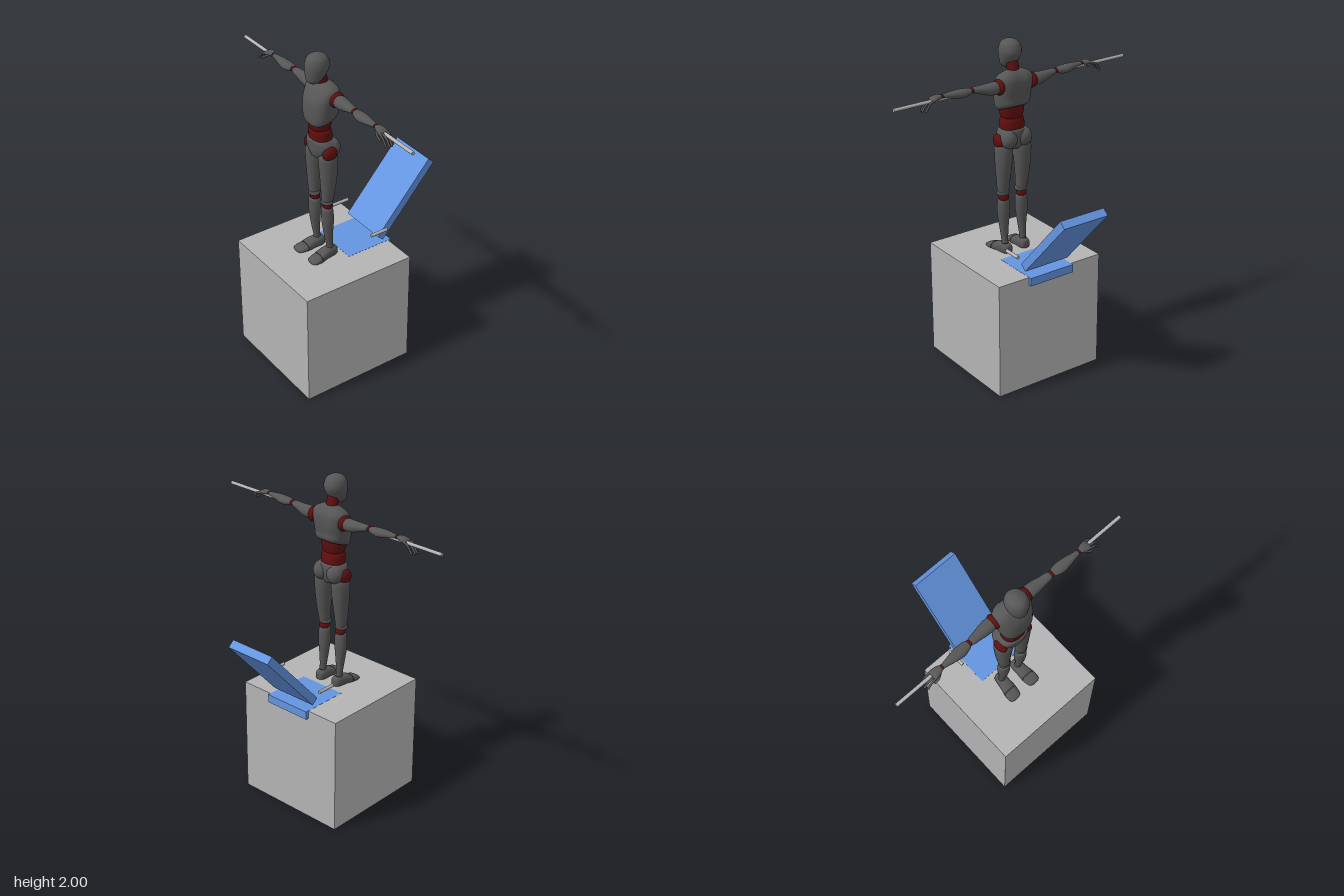
import * as THREE from 'three';

const material = (name, color) => {
  const m = new THREE.MeshStandardMaterial({ color });
  m.name = name;
  return m;
};

// Smooth interpolation through the section values
const spline = (a, b, c, d, u) =>
  b + 0.5 * u * (c - a + u * (2 * a - 5 * b + 4 * c - d + u * (3 * (b - c) + d - a)));

// Loft along an axis. Section: [t, centreA, centreB, radiusA, radiusB, tilt]
// axis y: A = x, B = z;  axis x: A = y, B = z;  axis z: A = x, B = y
function loft(sections, { axis = 'y', side = 1, power = 1, groove = 0, floor = -1 } = {}) {
  const N = 28, SUB = 4, rows = [], pos = [], idx = [];
  const at = i => sections[Math.max(0, Math.min(sections.length - 1, i))];
  for (let i = 0; i < sections.length - 1; i++)
    for (let k = 0; k < SUB; k++)
      rows.push([0, 1, 2, 3, 4, 5].map(j =>
        spline(at(i - 1)[j] ?? 0, at(i)[j] ?? 0, at(i + 1)[j] ?? 0, at(i + 2)[j] ?? 0, k / SUB)));
  rows.push([0, 1, 2, 3, 4, 5].map(j => at(sections.length)[j] ?? 0));
  // closed ends
  const cap = r => [r[0], r[1], r[2], 0, 0, r[5]];
  rows.unshift(cap(rows[0]));
  rows.push(cap(rows[rows.length - 1]));
  const round = v => Math.sign(v) * Math.abs(v) ** power;
  for (const [t, ca, cb, ra, rb, tilt] of rows)
    for (let n = 0; n < N; n++) {
      const w = (n / N) * Math.PI * 2;
      const da = Math.max(ra, 0) * round(Math.cos(w));
      let db = Math.max(rb, 0) * round(Math.sin(w));
      if (db < 0) db *= 1 - groove * Math.exp(-((da / 0.022) ** 2));
      const a = ca + da, b = cb + db, l = t + tilt * db;
      if (axis === 'y') pos.push(side * a, l, b);
      else if (axis === 'x') pos.push(side * l, a, b);
      else pos.push(side * a, Math.max(b, floor), l);
    }
  const flip = (axis === 'y') !== (side < 0);
  for (let r = 0; r < rows.length - 1; r++)
    for (let n = 0; n < N; n++) {
      const a = r * N + n, b = r * N + (n + 1) % N, c = a + N, d = b + N;
      if (flip) idx.push(a, c, b, b, c, d);
      else idx.push(a, b, c, b, d, c);
    }
  const g = new THREE.BufferGeometry();
  g.setAttribute('position', new THREE.Float32BufferAttribute(pos, 3));
  g.setIndex(idx);
  g.computeVertexNormals();
  return g;
}

export function createModel() {
  const grey = material('bodyGrey', 0x565656);
  const red = material('jointRed', 0x600e0e);
  const blue = material('cushionBlue', 0x6495e0);
  const light = material('lightGrey', 0xb4b4b4);

  const model = new THREE.Group();
  model.name = 'figureOnPedestal';
  const add = (name, geometry, mat, x = 0, y = 0, z = 0) => {
    const m = new THREE.Mesh(geometry, mat);
    m.name = name;
    m.position.set(x, y, z);
    model.add(m);
    return m;
  };
  const ball = (name, mat, x, y, z, rx, ry, rz) =>
    add(name, new THREE.SphereGeometry(1, 28, 18).scale(rx, ry, rz), mat, x, y, z);

  // Pedestal, seat and leaning backrest
  add('pedestal', new THREE.BoxGeometry(0.714, 0.714, 0.714), light, 0, 0.357, 0.162);
  add('seat', new THREE.BoxGeometry(0.3, 0.05, 0.3), blue, 0, 0.69, -0.064);
  add('backrest', new THREE.BoxGeometry(0.3, 0.54, 0.05), blue, 0, 0.953, -0.318).rotation.x = -0.73;

  // Head, neck and trunk
  add('head', loft([
    [1.832, 0, 0.217, 0.026, 0.024], [1.85, 0, 0.211, 0.044, 0.044],
    [1.89, 0, 0.197, 0.058, 0.063], [1.93, 0, 0.19, 0.064, 0.071],
    [1.97, 0, 0.19, 0.055, 0.06], [1.99, 0, 0.19, 0.034, 0.038], [2.0, 0, 0.19, 0.006, 0.007],
  ]), grey);
  add('neck', loft([
    [1.79, 0, 0.15, 0.042, 0.036], [1.83, 0, 0.16, 0.036, 0.032], [1.88, 0, 0.175, 0.036, 0.034],
  ]), red);
  add('chest', loft([
    [1.603, 0, 0.165, 0.08, 0.07, -0.38], [1.62, 0, 0.168, 0.096, 0.082, -0.36],
    [1.66, 0, 0.171, 0.103, 0.084, -0.2], [1.72, 0, 0.165, 0.108, 0.083],
    [1.77, 0, 0.155, 0.112, 0.072], [1.8, 0, 0.15, 0.104, 0.055],
    [1.822, 0, 0.15, 0.066, 0.036], [1.83, 0, 0.15, 0.035, 0.022],
  ], { power: 0.75, groove: 0.13 }), grey);
  add('upperAbdomen', loft([
    [1.54, 0, 0.178, 0.058, 0.05], [1.56, 0, 0.179, 0.067, 0.057],
    [1.6, 0, 0.179, 0.073, 0.063], [1.64, 0, 0.175, 0.075, 0.06],
  ], { power: 0.85 }), red);
  add('lowerAbdomen', loft([
    [1.46, 0, 0.172, 0.07, 0.056], [1.49, 0, 0.173, 0.073, 0.058],
    [1.53, 0, 0.176, 0.07, 0.056], [1.55, 0, 0.178, 0.058, 0.048],
  ], { power: 0.85 }), red);
  add('pelvis', loft([
    [1.358, 0, 0.17, 0.028, 0.04], [1.375, 0, 0.17, 0.055, 0.055],
    [1.41, 0, 0.17, 0.088, 0.064], [1.45, 0, 0.17, 0.097, 0.066],
    [1.475, 0, 0.172, 0.083, 0.065], [1.482, 0, 0.172, 0.07, 0.055],
  ], { power: 0.85 }), grey);

  for (const side of [1, -1]) {
    const part = side > 0 ? 'left' : 'right';

    // Armrest and the rod held in the hand
    const bar = (name, length, r) => [part + name, new THREE.CylinderGeometry(r, r, length, 20), light];
    add(...bar('Armrest', 0.113, 0.01), side * 0.192, 0.833, -0.094).rotation.x = Math.PI / 2;
    add(...bar('Rod', 0.515, 0.01), side * 0.528, 1.757, 0.15).rotation.z = Math.PI / 2;

    // Hip and leg
    ball(part + 'Buttock', grey, side * 0.051, 1.425, 0.14, 0.052, 0.058, 0.055);
    ball(part + 'Hip', red, side * 0.09, 1.412, 0.173, 0.029, 0.044, 0.046);
    add(part + 'Thigh', loft([
      [1.085, 0.063, 0.175, 0.03, 0.03], [1.105, 0.064, 0.175, 0.034, 0.035],
      [1.16, 0.066, 0.172, 0.039, 0.041], [1.25, 0.066, 0.168, 0.047, 0.05],
      [1.34, 0.064, 0.167, 0.053, 0.056], [1.38, 0.064, 0.168, 0.05, 0.054],
      [1.405, 0.064, 0.168, 0.035, 0.04],
    ], { side }), grey);
    ball(part + 'KneeCap', grey, side * 0.063, 1.088, 0.178, 0.039, 0.023, 0.034);
    ball(part + 'Knee', red, side * 0.063, 1.06, 0.172, 0.031, 0.028, 0.029);
    add(part + 'Shin', loft([
      [0.755, 0.064, 0.16, 0.02, 0.02], [0.79, 0.064, 0.163, 0.02, 0.02],
      [0.86, 0.064, 0.17, 0.026, 0.026], [0.95, 0.064, 0.174, 0.037, 0.034],
      [1.01, 0.063, 0.175, 0.038, 0.034], [1.04, 0.063, 0.177, 0.034, 0.032],
      [1.048, 0.063, 0.177, 0.024, 0.022],
    ], { side }), grey);
    ball(part + 'Ankle', red, side * 0.064, 0.765, 0.16, 0.02, 0.02, 0.022);
    add(part + 'Foot', loft([
      [0.118, 0.062, 0.738, 0.015, 0.018], [0.128, 0.062, 0.738, 0.028, 0.03],
      [0.16, 0.063, 0.738, 0.034, 0.036], [0.2, 0.066, 0.735, 0.037, 0.034],
      [0.24, 0.069, 0.725, 0.042, 0.029],
    ], { axis: 'z', side, floor: 0.715, power: 0.8 }), grey);
    add(part + 'Toes', loft([
      [0.24, 0.07, 0.724, 0.042, 0.025], [0.275, 0.073, 0.722, 0.041, 0.018],
      [0.295, 0.074, 0.72, 0.033, 0.012], [0.303, 0.074, 0.718, 0.015, 0.006],
    ], { axis: 'z', side, floor: 0.715, power: 0.8 }), grey);

    // Arm, stretched sideways
    ball(part + 'Shoulder', red, side * 0.112, 1.748, 0.14, 0.029, 0.045, 0.045);
    add(part + 'UpperArm', loft([
      [0.12, 1.75, 0.14, 0.024, 0.028], [0.135, 1.749, 0.14, 0.036, 0.039],
      [0.18, 1.75, 0.141, 0.034, 0.037], [0.23, 1.757, 0.145, 0.025, 0.029],
      [0.27, 1.763, 0.148, 0.018, 0.024], [0.285, 1.764, 0.149, 0.01, 0.014],
    ], { axis: 'x', side }), grey);
    ball(part + 'Elbow', red, side * 0.288, 1.765, 0.149, 0.017, 0.014, 0.02);
    add(part + 'Forearm', loft([
      [0.289, 1.764, 0.149, 0.01, 0.015], [0.305, 1.763, 0.15, 0.018, 0.026],
      [0.35, 1.76, 0.152, 0.025, 0.034], [0.4, 1.764, 0.153, 0.022, 0.028],
      [0.45, 1.768, 0.154, 0.014, 0.018], [0.475, 1.769, 0.154, 0.011, 0.014],
    ], { axis: 'x', side }), grey);
    ball(part + 'Wrist', red, side * 0.48, 1.769, 0.154, 0.013, 0.012, 0.015);
    add(part + 'Palm', loft([
      [0.482, 1.77, 0.154, 0.009, 0.013], [0.5, 1.771, 0.154, 0.013, 0.022],
      [0.53, 1.767, 0.155, 0.013, 0.029], [0.55, 1.759, 0.155, 0.009, 0.028],
    ], { axis: 'x', side, power: 0.8 }), grey);

    // Fingers and thumb, curling down over the rod
    const finger = (name, points) => {
      const path = points.map(([x, y, z]) => new THREE.Vector3(side * x, y, z));
      add(part + name, new THREE.TubeGeometry(new THREE.CatmullRomCurve3(path), 10, 0.0065, 8), grey);
      const tip = path[path.length - 1];
      ball(part + name + 'Tip', grey, tip.x, tip.y, tip.z, 0.0065, 0.0065, 0.0065);
    };
    [0.131, 0.147, 0.163, 0.179].forEach((z, i) => {
      const reach = [-0.012, 0, 0, -0.01][i];
      finger('Finger' + (i + 1), [
        [0.535, 1.764, z], [0.565, 1.753, z], [0.59 + reach, 1.737, z], [0.607 + reach, 1.713, z]]);
    });
    finger('Thumb', [[0.505, 1.765, 0.172], [0.53, 1.748, 0.186], [0.552, 1.73, 0.184]]);
  }
  return model;
}
